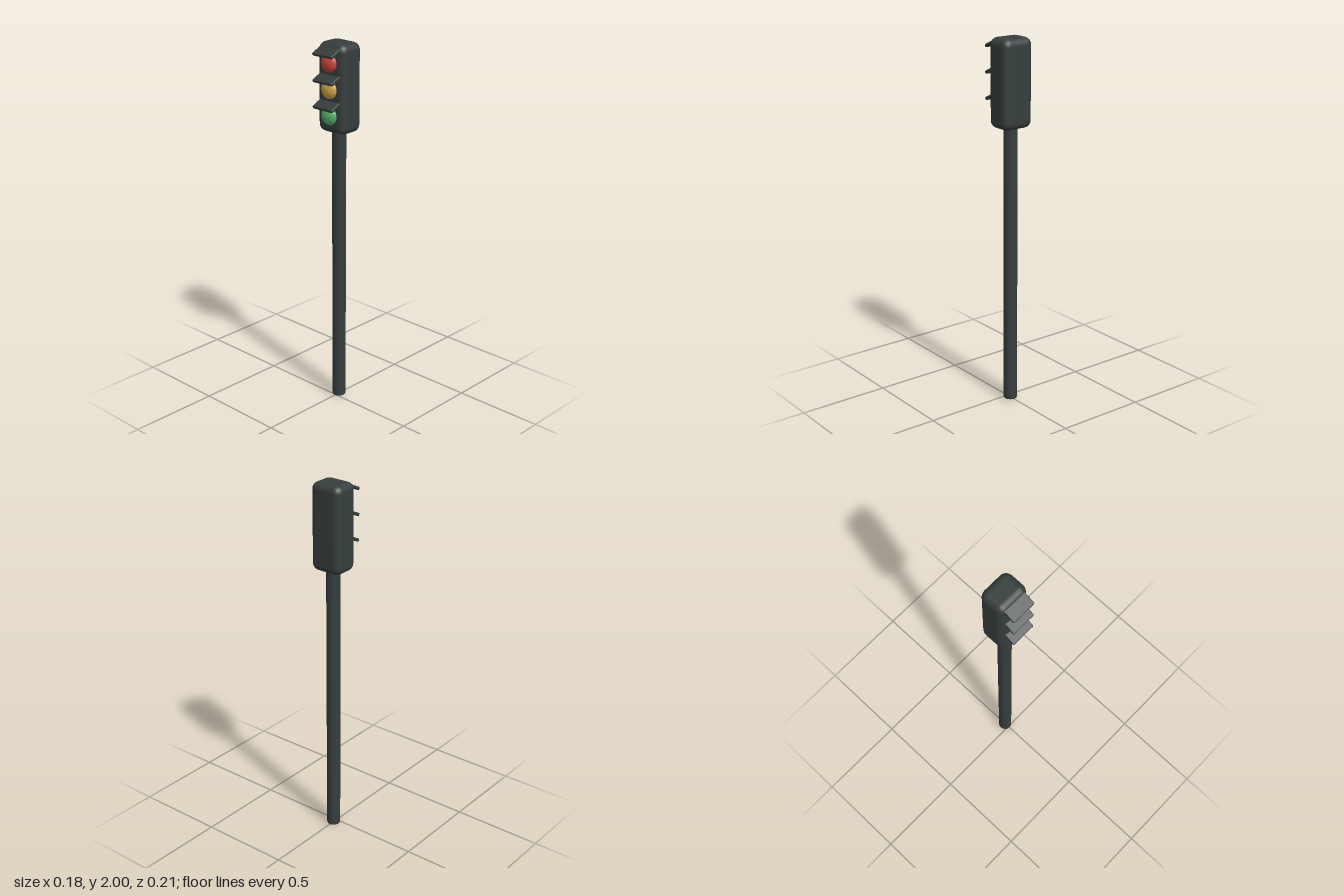
import * as THREE from 'three';
import { RoundedBoxGeometry } from 'three/addons/geometries/RoundedBoxGeometry.js';

const flat = (name, color) => {
  const m = new THREE.MeshStandardMaterial({ color });
  m.name = name;
  return m;
};

export function createModel() {
  const model = new THREE.Group();
  model.name = 'trafficLight';
  const dark = flat('darkMetal', 0x363e3e);
  const lampMaterials = [
    flat('redLamp', 0xd0463a),
    flat('amberLamp', 0xd6a444),
    flat('greenLamp', 0x55b465),
  ];

  const add = (name, geometry, material, x, y, z) => {
    const mesh = new THREE.Mesh(geometry, material);
    mesh.name = name;
    mesh.position.set(x, y, z);
    model.add(mesh);
    return mesh;
  };

  // Round pole with slightly bevelled foot, running up into the housing
  const r = 0.037;
  const profile = [[0, 0], [r - 0.006, 0], [r - 0.002, 0.002], [r, 0.007], [r, 1.56], [0, 1.56]]
    .map(([x, y]) => new THREE.Vector2(x, y));
  const pole = new THREE.LatheGeometry(profile, 20);
  add('pole', pole, dark, 0, 0, -0.027);

  // Rounded signal housing
  add('housing', new RoundedBoxGeometry(0.184, 0.47, 0.15, 3, 0.04), dark, 0, 1.765, -0.029);

  // Three domed lamps, each under a sloping visor
  const dome = new THREE.SphereGeometry(0.05, 24, 16).scale(1, 1, 0.6);
  const visor = new RoundedBoxGeometry(0.137, 0.017, 0.08, 2, 0.005);
  lampMaterials.forEach((material, i) => {
    const y = 1.902 - i * 0.137;
    add(material.name, dome, material, 0, y, 0.046);
    add('visor', visor, dark, 0, y + 0.058, 0.063).rotation.x = THREE.MathUtils.degToRad(25);
  });

  return model;
}
